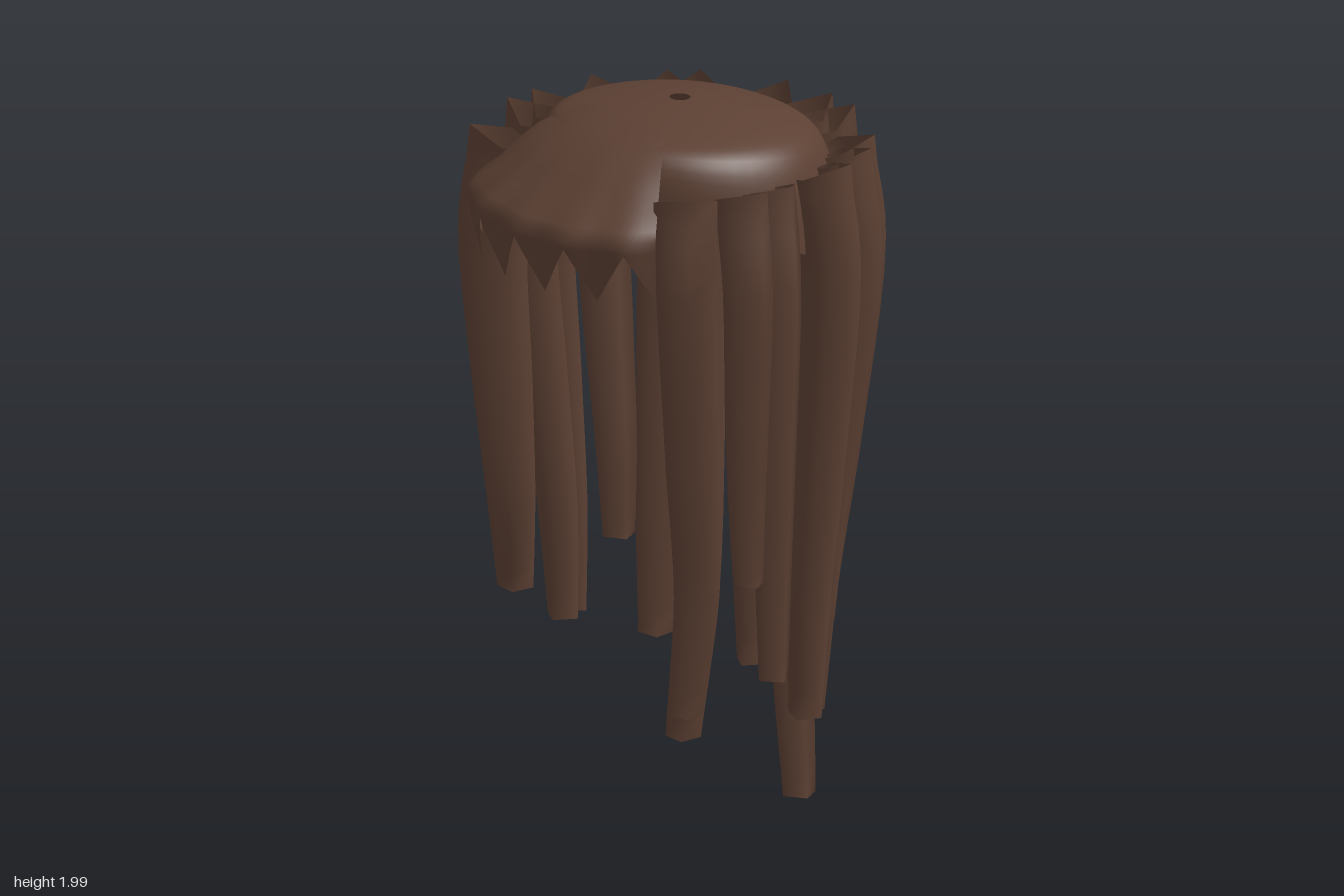
import * as THREE from 'three';

const hairBrown = new THREE.MeshStandardMaterial({ color: 0x5c4033, side: THREE.DoubleSide });
hairBrown.name = 'hair brown';

// Smooth surface from a rule: row i runs downwards, column j runs around
function surface(name, rows, cols, closed, rule) {
  const pos = [], index = [];
  const width = closed ? cols : cols + 1;
  for (let i = 0; i <= rows; i++)
    for (let j = 0; j < width; j++) pos.push(...rule(i, j));
  for (let i = 0; i < rows; i++)
    for (let j = 0; j < cols; j++) {
      const k = (j + 1) % width;
      const a = i * width + j, b = i * width + k;
      const c = a + width, d = b + width;
      index.push(a, c, b, b, c, d);
    }
  const geo = new THREE.BufferGeometry();
  geo.setAttribute('position', new THREE.Float32BufferAttribute(pos, 3));
  geo.setIndex(index);
  geo.computeVertexNormals();
  const mesh = new THREE.Mesh(geo, hairBrown);
  mesh.name = name;
  return mesh;
}

// Shallow dome with a small crown hole, turning down to a rim that drops towards the back
function makeCap() {
  const rows = 20, cols = 48;
  return surface('cap', rows, cols, true, (i, j) => {
    const a = (j / cols) * Math.PI * 2;
    const s = Math.sin(THREE.MathUtils.lerp(0.07, Math.PI / 2, i / rows));
    const drop = 0.25 * s * s + 0.75 * (1 - Math.pow(Math.max(0, 1 - Math.pow(s, 16)), 0.4));
    const rimY = 1.69 + 0.42 * (-0.05 + 0.39 * Math.cos(a));
    return [
      0.405 * s * Math.sin(a),
      2 - drop * (2 - rimY),
      -0.05 + 0.03 * (1 - s) + 0.39 * s * Math.cos(a),
    ];
  });
}

// Fan over the forehead ending in hanging pointed locks, with a point at each end
function makeFringe() {
  const profile = [[0.18, 1.99], [0.27, 1.974], [0.36, 1.93], [0.42, 1.885],
    [0.48, 1.835], [0.53, 1.8], [0.552, 1.775], [0.552, 1.745]];
  const cols = 5 * 8, rows = profile.length;
  return surface('fringe', rows, cols, false, (i, j) => {
    const a = (j / cols - 0.5) * 1.53;
    const point = Math.abs(((j / 8) % 1) * 2 - 1);
    const edge = Math.abs(a) / 0.765;
    let [r, y] = profile[Math.min(i, rows - 1)];
    if (i === rows) {
      r = 0.55 - 0.02 * point;
      y = 1.74 - 0.14 * point;
    }
    const out = Math.min(1, i / 6);
    r *= 1 - 0.05 * Math.pow(edge, 4) * out;
    r += 0.006 * Math.cos(a * 20.5) * out * out;
    return [r * Math.sin(a), y, r * Math.cos(a)];
  });
}

// Tapering four-sided open lock, bulging near the top and falling inwards;
// sway and tuck bend its lower half sideways and towards the middle
function makeStrand(tipX, tipZ, endX, endY, endZ, sway = 0, tuck = 0) {
  const rows = 20;
  const a = Math.atan2(tipX, tipZ + 0.01);
  const r = Math.hypot(tipX, tipZ) - 0.105;
  const fall = 1.6 - endY;
  const at = (t, y, swell, bend) => new THREE.Vector3(
    THREE.MathUtils.lerp(Math.sin(a) * r * swell, endX, t)
      + bend * (Math.cos(a) * sway - Math.sin(a) * tuck),
    y,
    THREE.MathUtils.lerp(Math.cos(a) * r * swell, endZ, t)
      - bend * (Math.sin(a) * sway + Math.cos(a) * tuck));
  const path = new THREE.CatmullRomCurve3([
    at(0, 1.865, 0.96, 0), at(0, 1.62, 1.04, 0), at(0.4, 1.6 - fall * 0.4, 1.03, 0.6),
    at(0.8, 1.6 - fall * 0.72, 1, 1), at(1, endY, 1, 0),
  ]);
  return surface('strand', rows, 4, true, (i, j) => {
    const t = i / rows, p = path.getPoint(t);
    const b = (j / 4) * Math.PI * 2;
    const taper = Math.pow(t, 1.5);
    const radial = Math.cos(b) * THREE.MathUtils.lerp(0.1, 0.048, taper);
    const side = Math.sin(b) * THREE.MathUtils.lerp(0.085, 0.047, taper);
    const tilt = i === 0 ? radial * 0.35 : 0;
    return [
      p.x + radial * Math.sin(a) + side * Math.cos(a),
      p.y + tilt,
      p.z + radial * Math.cos(a) - side * Math.sin(a),
    ];
  });
}

export function createModel() {
  const model = new THREE.Group();
  model.name = 'hair';
  model.add(makeCap(), makeFringe());

  // Outer top x, z, then lower end x, y, z, then sway and tuck
  const strands = [
    [-0.14, -0.54, -0.09, 0.33, -0.35, 0.015],
    [0.02, -0.56, 0.04, 0.35, -0.35, 0.01],
    [0.13, -0.545, 0.09, 0.005, -0.36, 0.015, 0.025],
    [0.36, -0.42, 0.21, 0.29, -0.28, -0.03],
    [0.44, -0.34, 0.31, 0.58, -0.23],
    [0.51, -0.21, 0.38, 0.35, -0.13],
    [0.55, 0.04, 0.425, 0.5, 0.02],
    [0.54, 0.14, 0.42, 0.78, 0.1],
    [0.46, 0.335, 0.3, 0.41, 0.22, 0.03],
    [-0.36, -0.42, -0.285, 0.085, -0.28, -0.035, 0.04],
    [-0.42, -0.35, -0.325, 0.38, -0.22],
    [-0.53, -0.17, -0.37, 0.66, -0.13],
    [-0.55, 0.03, -0.38, 0.49, 0.02],
    [-0.54, 0.13, -0.365, 0.48, 0.07],
    [-0.44, 0.36, -0.36, 0.6, 0.24, 0.03],
  ];
  const locks = new THREE.Group();
  locks.name = 'strands';
  for (const s of strands) locks.add(makeStrand(...s));
  model.add(locks);
  return model;
}
